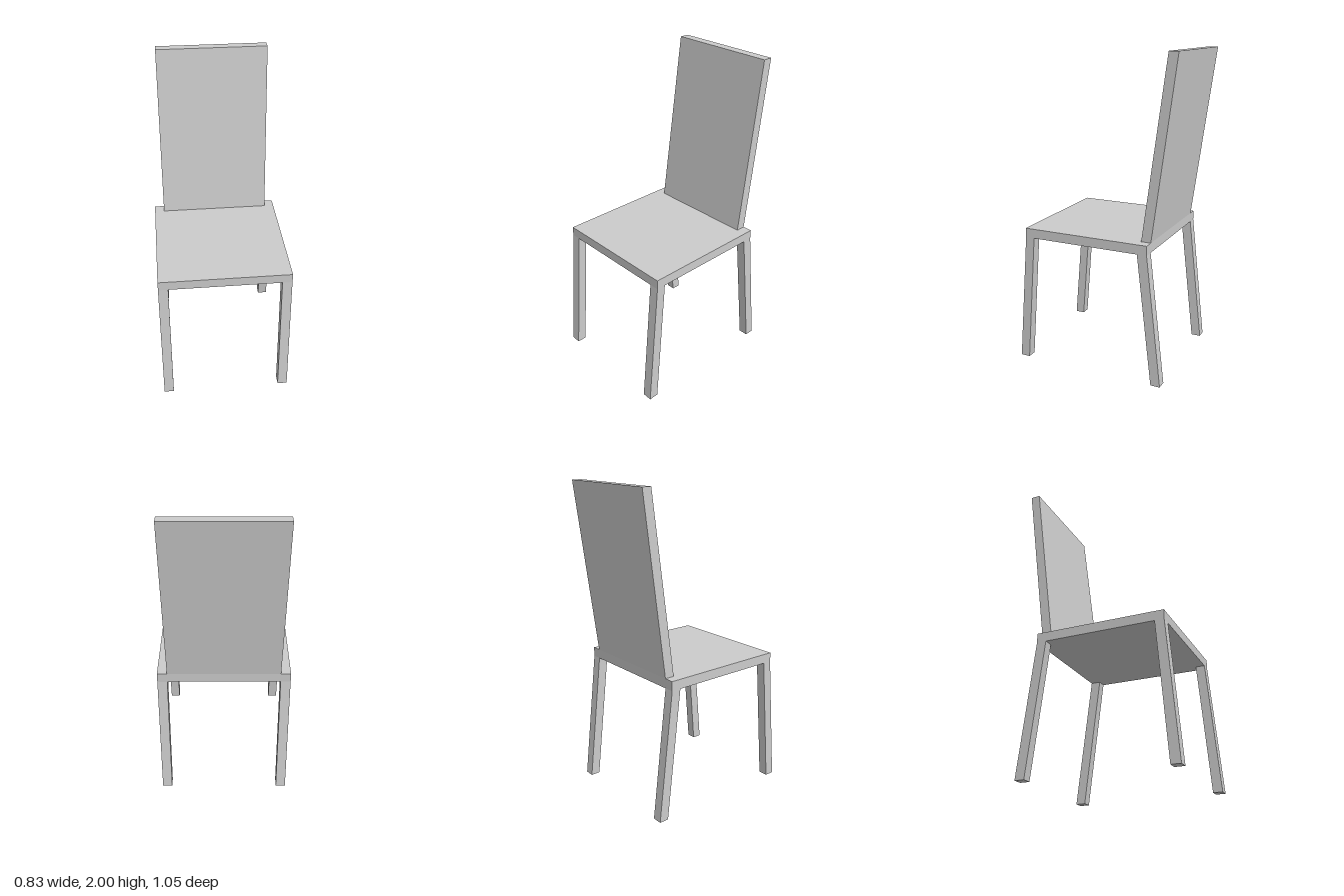
import * as THREE from 'three';

const material = new THREE.MeshStandardMaterial({ color: 0xcccccc, flatShading: true });

// Box from y0 to y1 whose z range slides from [b0, b1] at the bottom to [t0, t1] at the top
function slantedBox(name, x0, x1, y0, y1, [b0, b1], [t0, t1]) {
  const geometry = new THREE.BoxGeometry(1, 1, 1);
  const p = geometry.attributes.position;
  for (let i = 0; i < p.count; i++) {
    const top = p.getY(i) > 0;
    const front = p.getZ(i) > 0;
    p.setXYZ(
      i,
      p.getX(i) > 0 ? x1 : x0,
      top ? y1 : y0,
      front ? (top ? t1 : b1) : (top ? t0 : b0)
    );
  }
  geometry.computeVertexNormals();
  const mesh = new THREE.Mesh(geometry, material);
  mesh.name = name;
  return mesh;
}

export function createModel() {
  const group = new THREE.Group();
  group.name = 'chair';

  const outer = 0.414, inner = 0.352;
  const under = 0.835, seatTop = 0.895;
  const seatBack = -0.374, seatFront = 0.453;

  // Flat seat slab
  group.add(slantedBox('seat', -outer, outer, under, seatTop, [seatBack, seatFront], [seatBack, seatFront]));

  // Tall backrest leaning backwards
  group.add(slantedBox('backrest', -inner, inner, seatTop, 2, [seatBack, -0.312], [-0.523, -0.463]));

  // Four splayed legs, flush with the seat corners
  for (const [side, x0, x1] of [['left', inner, outer], ['right', -outer, -inner]]) {
    group.add(slantedBox(`${side}FrontLeg`, x0, x1, 0, under, [0.462, 0.523], [0.394, seatFront]));
    group.add(slantedBox(`${side}BackLeg`, x0, x1, 0, under, [-0.47, -0.409], [seatBack, -0.312]));
  }

  return group;
}
